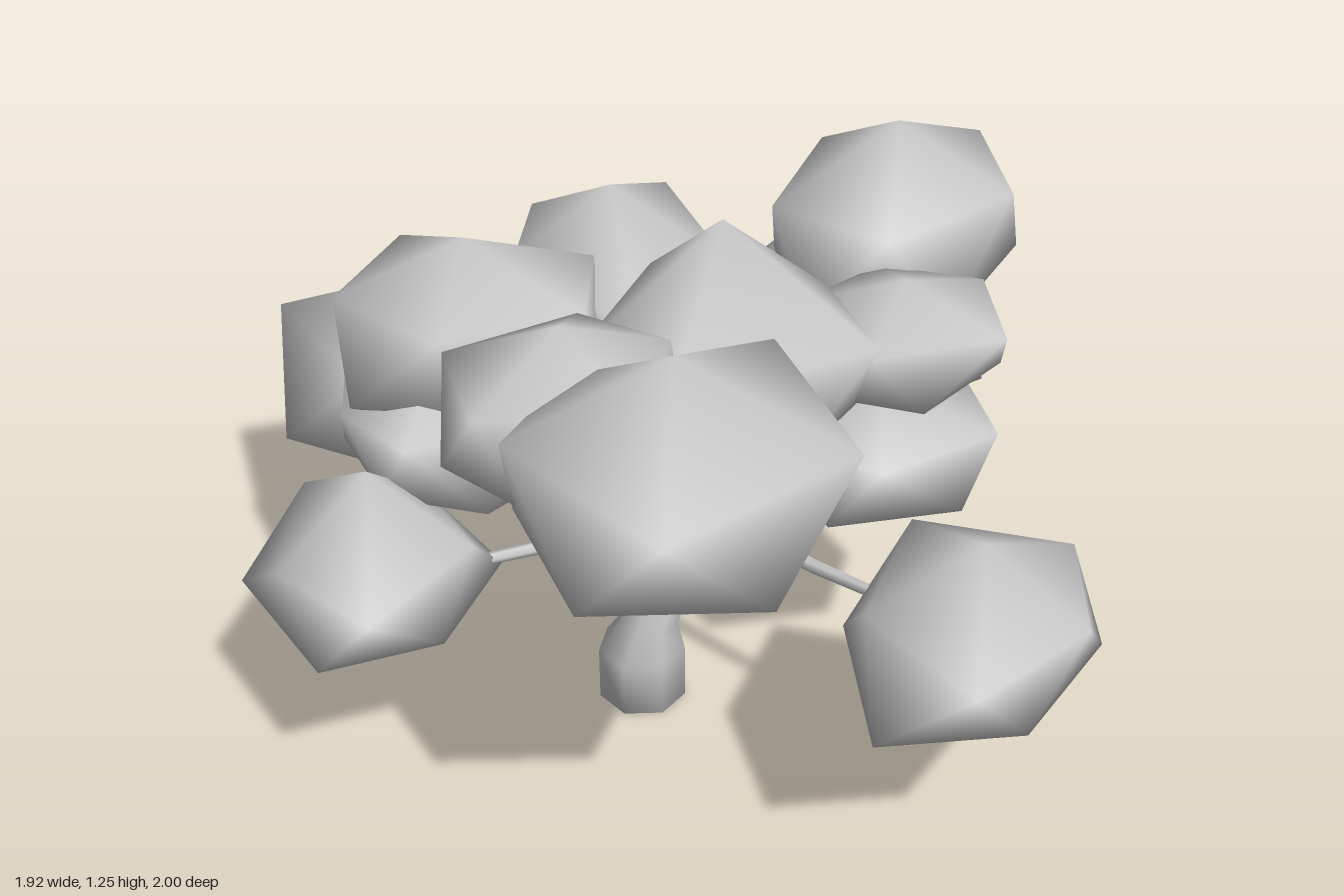
import * as THREE from 'three';
import { mergeVertices } from 'three/addons/utils/BufferGeometryUtils.js';

const material = new THREE.MeshStandardMaterial({ color: 0xcccccc });

// Average [x, z] of an outline
function centreOf(outline) {
  const sum = outline.reduce(([a, b], [x, z]) => [a + x, b + z], [0, 0]);
  return sum.map((s) => s / outline.length);
}

// Leaf clump: a peak, two staggered rings and an underside. The plan outline
// alternates between corners of the upper ring and corners of the lower ring;
// high and low are the ring heights as a share of the clump.
function clumpGeometry(y0, y1, high, low, outline) {
  const n = outline.length / 2;
  const [cx, cz] = centreOf(outline);
  const pos = [cx, y1, cz];
  const index = [];
  outline.forEach(([x, z], i) => pos.push(x, y0 + (y1 - y0) * (i % 2 ? low : high), z));
  pos.push(cx, y0, cz);
  const bottom = 1 + 2 * n;
  for (let i = 0; i < n; i++) {
    const u0 = 1 + 2 * i, l0 = u0 + 1;
    const u1 = 1 + 2 * ((i + 1) % n), l1 = u1 + 1;
    index.push(0, u1, u0, u0, u1, l0, l0, u1, l1, bottom, l0, l1);
  }
  const geo = new THREE.BufferGeometry();
  geo.setAttribute('position', new THREE.Float32BufferAttribute(pos, 3));
  geo.setIndex(index);
  geo.computeVertexNormals();
  return geo;
}

// Leaning trunk: each level is [height, radius, x, z]
function trunkGeometry() {
  const levels = [
    [0, 0, -0.145, 0], [0, 0.1, -0.145, 0], [0.13, 0.1, -0.145, 0],
    [0.22, 0.068, -0.145, 0.035], [0.36, 0.062, -0.09, 0.03],
    [0.47, 0.055, -0.035, 0.015], [0.58, 0.035, -0.005, 0], [0.6, 0, 0, 0],
  ];
  const lathe = new THREE.LatheGeometry(levels.map(([y, r]) => new THREE.Vector2(r, y)), 7);
  const p = lathe.attributes.position;
  for (let i = 0; i < p.count; i++) {
    const [, , x, z] = levels[i % levels.length];
    p.setX(i, p.getX(i) + x);
    p.setZ(i, p.getZ(i) + z);
  }
  // Weld the seam so the bark shades evenly
  lathe.deleteAttribute('uv');
  lathe.deleteAttribute('normal');
  const geo = mergeVertices(lathe);
  geo.computeVertexNormals();
  return geo;
}

// Straight tapering twig between two points
function twig(from, to, r0, r1) {
  const dir = to.clone().sub(from);
  const mesh = new THREE.Mesh(new THREE.CylinderGeometry(r1, r0, dir.length(), 6), material);
  mesh.position.copy(from).addScaledVector(dir, 0.5);
  mesh.quaternion.setFromUnitVectors(new THREE.Vector3(0, 1, 0), dir.normalize());
  mesh.name = 'branchSegment';
  return mesh;
}

// Each clump: name, bottom, top, ring heights, plan outline [x, z]
const upperFront = [
  ['frontRightHighClump', 0.8, 1.245, 0.66, 0.18,
    [[-0.05, 0.4], [-0.07, 0.65], [-0.12, 0.83], [-0.33, 0.9], [-0.56, 0.92],
      [-0.64, 0.75], [-0.66, 0.5], [-0.6, 0.4], [-0.45, 0.34], [-0.25, 0.35]]],
  ['rightHighClump', 0.87, 1.18, 0.7, 0.2,
    [[-0.22, 0.3], [-0.25, 0.45], [-0.4, 0.55], [-0.6, 0.52], [-0.67, 0.4],
      [-0.69, 0.28], [-0.62, 0.14], [-0.5, 0.13], [-0.33, 0.12], [-0.24, 0.17]]],
  ['crownClump', 0.75, 1.245, 0.5, 0.12,
    [[0.25, 0.1], [0.27, 0.25], [0.2, 0.39], [-0.02, 0.42], [-0.27, 0.38],
      [-0.33, 0.25], [-0.36, 0.14], [-0.25, 0], [-0.03, -0.16], [0.15, -0.02]]],
  ['frontLeftSmallClump', 0.78, 1.04, 0.75, 0.2,
    [[0.58, 0.2], [0.56, 0.31], [0.47, 0.44], [0.3, 0.41], [0.18, 0.38],
      [0.15, 0.25], [0.18, 0.1], [0.25, 0.04], [0.42, 0.04], [0.52, 0.12]]],
  ['leftHighClump', 0.77, 1.2, 0.66, 0.16,
    [[0.57, -0.45], [0.77, -0.4], [0.92, -0.31], [0.91, -0.12], [0.78, 0.02],
      [0.56, 0.12], [0.4, 0.1], [0.28, -0.03], [0.28, -0.18], [0.4, -0.37]]],
];

const upperBack = [
  ['backClump', 0.7, 1.08, 0.62, 0.2,
    [[0.25, -0.63], [0.27, -0.45], [0.18, -0.19], [0.05, 0], [-0.15, 0],
      [-0.2, -0.25], [-0.22, -0.45], [-0.15, -0.6], [-0.08, -0.67], [-0.02, -0.72]]],
  ['backRightHighClump', 0.66, 1.11, 0.75, 0.3,
    [[-0.12, -0.25], [-0.17, -0.1], [-0.25, -0.02], [-0.42, -0.02], [-0.57, -0.04],
      [-0.7, -0.22], [-0.68, -0.33], [-0.62, -0.45], [-0.45, -0.54], [-0.18, -0.5]]],
];

const lower = [
  ['frontLeftLowerClump', 0.52, 0.8, 0.72, 0.2,
    [[0.58, 0.15], [0.57, 0.25], [0.5, 0.4], [0.4, 0.43], [0.2, 0.42],
      [0.12, 0.35], [0.09, 0.2], [0.12, 0.05], [0.25, -0.04], [0.45, 0]]],
  ['frontLowClump', 0.42, 0.74, 0.6, 0.06,
    [[0.5, 0.68], [0.5, 0.8], [0.35, 0.93], [0.2, 0.96], [0.04, 1],
      [-0.08, 0.85], [0, 0.68], [0.07, 0.5], [0.26, 0.45], [0.42, 0.56]]],
  ['leftLowClump', 0.32, 0.83, 0.7, 0.2,
    [[0.96, -0.4], [0.92, -0.22], [0.75, -0.17], [0.58, -0.18], [0.42, -0.25],
      [0.36, -0.42], [0.4, -0.58], [0.55, -0.78], [0.77, -0.8], [0.95, -0.64]]],
  ['backLeftLowClump', 0.48, 0.72, 0.7, 0.2,
    [[0.36, -0.45], [0.3, -0.32], [0.2, -0.3], [0.1, -0.35], [0.04, -0.5],
      [0.03, -0.62], [0.06, -0.81], [0.22, -0.82], [0.37, -0.77], [0.4, -0.65]]],
];

const lowerBack = [
  ['backRightMiddleClump', 0.53, 0.9, 0.64, 0.2,
    [[-0.16, -0.3], [-0.2, -0.1], [-0.3, -0.02], [-0.5, 0.01], [-0.65, -0.05],
      [-0.67, -0.15], [-0.71, -0.25], [-0.66, -0.42], [-0.57, -0.6], [-0.33, -0.64]]],
  ['backRightLowClump', 0.37, 0.8, 0.65, 0.07,
    [[-0.03, -0.72], [-0.06, -0.55], [-0.2, -0.42], [-0.4, -0.4], [-0.57, -0.55],
      [-0.69, -0.8], [-0.61, -1], [-0.38, -1], [-0.2, -0.93], [-0.05, -0.83]]],
  ['rightLowClump', 0.33, 0.73, 0.58, 0.19,
    [[-0.56, -0.2], [-0.44, -0.08], [-0.55, 0.05], [-0.66, 0.13], [-0.84, 0.21],
      [-0.92, 0.1], [-0.94, -0.05], [-0.96, -0.28], [-0.78, -0.35], [-0.6, -0.28]]],
];

// Bent branch from the trunk top into a clump
function makeBranch(root, tip) {
  const bend = root.clone().lerp(tip, 0.45);
  bend.y -= 0.02;
  const branch = new THREE.Group();
  branch.name = 'branch';
  branch.add(twig(root, bend, 0.024, 0.016), twig(bend, tip, 0.016, 0.01));
  return branch;
}

export function createModel() {
  const model = new THREE.Group();
  model.name = 'tree';

  const trunk = new THREE.Mesh(trunkGeometry(), material);
  trunk.name = 'trunk';
  model.add(trunk);

  const foliage = new THREE.Group();
  foliage.name = 'foliage';
  const branches = new THREE.Group();
  branches.name = 'branches';

  const tiers = [[upperFront, 0.55], [upperBack, 0.55], [lower, 0.49], [lowerBack, 0.49]];
  for (const [clumps, rootHeight] of tiers) {
    for (const [name, y0, y1, high, low, outline] of clumps) {
      const clump = new THREE.Mesh(clumpGeometry(y0, y1, high, low, outline), material);
      clump.name = name;
      foliage.add(clump);

      const [cx, cz] = centreOf(outline);
      const root = new THREE.Vector3(-0.02, rootHeight, 0.01);
      branches.add(makeBranch(root, new THREE.Vector3(cx, y0 + (y1 - y0) * 0.3, cz)));
    }
  }

  model.add(foliage, branches);
  return model;
}
